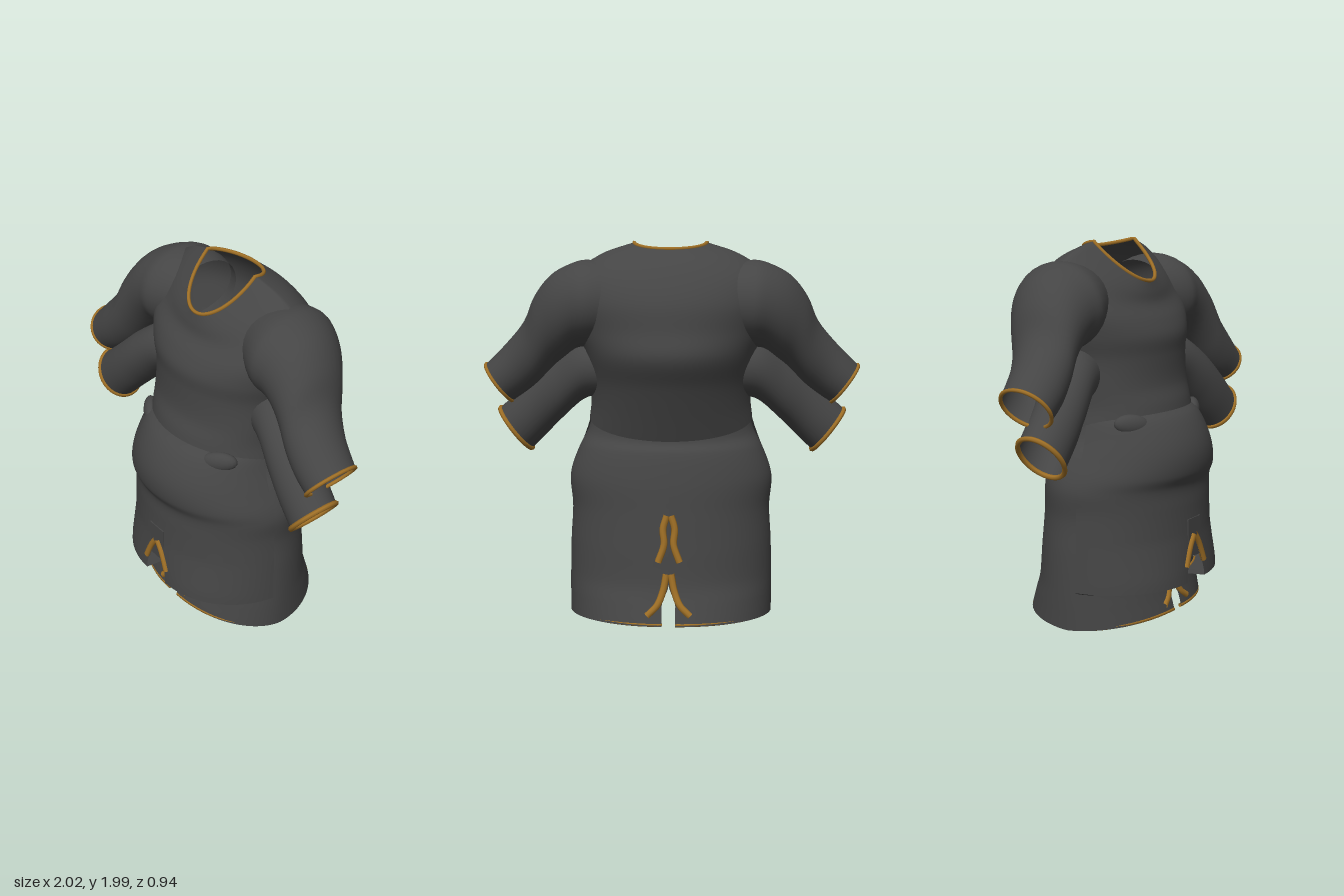
import * as THREE from 'three';

const cloth = new THREE.MeshStandardMaterial({ color: 0x454545, side: THREE.DoubleSide });
cloth.name = 'charcoal cloth';
const gold = new THREE.MeshStandardMaterial({ color: 0xa07026, side: THREE.DoubleSide });
gold.name = 'gold trim';
const V = (x, y, z) => new THREE.Vector3(x, y, z);

// Adds smooth in-between rows to a stack of cross-sections
function smoothRows(rows, steps) {
  const columns = rows[0].map((_, j) =>
    new THREE.CatmullRomCurve3(rows.map(r => r[j]), false, 'centripetal').getPoints(steps));
  return Array.from({ length: steps + 1 }, (_, i) => columns.map(c => c[i]));
}

// Skins rows of points into a sheet or a closed tube
function skin(rows, closed, flip) {
  const n = rows[0].length, index = [];
  for (let i = 0; i < rows.length - 1; i++) {
    for (let j = 0; j < (closed ? n : n - 1); j++) {
      const k = (j + 1) % n;
      const a = i * n + j, b = i * n + k, c = a + n, d = b + n;
      if (flip) index.push(a, b, c, b, d, c);
      else index.push(a, c, b, b, c, d);
    }
  }
  const g = new THREE.BufferGeometry().setFromPoints(rows.flat());
  g.setIndex(index);
  g.computeVertexNormals();
  return g;
}

// Body section: half width, front z, back z, heights at side, front and back, z of the sides
function section([w, f, b, ys, yf = ys, yb = ys, zs = 0], from, to, n, closed) {
  return Array.from({ length: n }, (_, j) => {
    const a = from + (to - from) * j / (closed ? n : n - 1);
    const c = Math.cos(a), s = Math.sin(a);
    return V(w * s, ys + ((c > 0 ? yf : yb) - ys) * Math.abs(c),
      zs + (c > 0 ? f - zs : zs - b) * c);
  });
}

// Sleeve section between a top and a bottom point, with front and back z
function sleeveSection([tx, ty, bx, by, zf, zb], side) {
  return Array.from({ length: 32 }, (_, j) => {
    const a = j / 32 * Math.PI * 2, c = Math.cos(a) / 2;
    return V(side * ((tx + bx) / 2 + (tx - bx) * c), (ty + by) / 2 + (ty - by) * c,
      (zf + zb) / 2 + (zf - zb) / 2 * Math.sin(a));
  });
}

const JACKET = [
  [.19, .165, -.20, 1.98, 1.775, 1.945, -.06],
  [.36, .18, -.30, 1.92, 1.72, 1.875, -.08],
  [.48, .195, -.38, 1.83, 1.66, 1.77, -.09],
  [.52, .25, -.43, 1.70, 1.58, 1.66, -.08],
  [.49, .285, -.45, 1.53, 1.50, 1.53, -.06],
  [.45, .285, -.47, 1.40, 1.40, 1.40, -.04],
  [.43, .295, -.40, 1.25],
  [.425, .325, -.345, 1.15, 1.16, 1.12],
  [.435, .34, -.28, 1.06, 1.09, .96],
];
const SKIRT = [
  [.41, .28, -.26, 1.12, 1.12, 1.06],
  [.44, .36, -.27, 1.0, 1.0, .95],
  [.49, .40, -.30, .90],
  [.54, .38, -.335, .75],
  [.53, .34, -.355, .58],
  [.54, .32, -.375, .40],
  [.545, .31, -.40, .20],
  [.545, .35, -.46, .005, .03, .03],
];
const FLAP = [
  [.42, .31, -.3, 1.11, 1.13],
  [.435, .38, -.3, 1.06, 1.09],
  [.455, .44, -.3, 1.0],
  [.492, .47, -.3, .90],
  [.53, .465, -.3, .80],
  [.543, .435, -.3, .73],
  [.535, .437, -.3, .62],
  [.54, .445, -.3, .45],
  [.547, .46, -.3, .215],
];
const UPPER_SLEEVE = [
  [.26, 1.86, .32, 1.46, .11, -.32], [.44, 1.89, .42, 1.44, .17, -.35],
  [.53, 1.866, .49, 1.43, .165, -.325], [.63, 1.81, .56, 1.38, .165, -.28],
  [.72, 1.70, .62, 1.33, .175, -.22], [.78, 1.57, .70, 1.24, .19, -.16],
  [.88, 1.45, .77, 1.18, .20, -.11], [1.0, 1.33, .85, 1.13, .20, -.08],
];
const LOWER_SLEEVE = [
  [.32, 1.48, .34, 1.18, .10, -.22], [.48, 1.46, .45, 1.16, .14, -.19],
  [.62, 1.37, .58, 1.05, .18, -.12], [.76, 1.25, .66, .97, .20, -.07],
  [.93, 1.09, .76, .87, .21, -.04],
];
// Gold edging along one half of each slit
const SLIT_TRIMS = {
  upperFrontSlitTrim: [[.006, .46, .446], [.04, .41, .448], [.065, .36, .45], [.09, .3, .453]],
  lowerFrontSlitTrim: [[.01, .27, .316], [.03, .19, .314], [.06, .115, .326], [.11, .075, .336]],
  upperBackSlitTrim: [[.01, .59, -.358], [.03, .52, -.364], [.025, .44, -.373], [.055, .35, -.382]],
  lowerBackSlitTrim: [[.012, .29, -.388], [.03, .2, -.403], [.06, .13, -.424], [.11, .08, -.436]],
};

// Half widths of the openings by height
const skirtGap = y => .035 * THREE.MathUtils.clamp((.22 - y) / .08, 0, 1);
const flapGap = y => .085 * THREE.MathUtils.clamp((.46 - y) / .2, 0, 1);

export function createModel() {
  const model = new THREE.Group();
  model.name = 'fourSleevedTunic';
  const add = (name, geometry, material) => {
    const mesh = new THREE.Mesh(geometry, material);
    mesh.name = name;
    model.add(mesh);
    return mesh;
  };
  const trim = (name, points, closed, radius) => add(name,
    new THREE.TubeGeometry(new THREE.CatmullRomCurve3(points, closed), 64, radius, 6, closed), gold);

  // Upper garment and neckline
  const jacket = smoothRows(JACKET.map(s => section(s, 0, Math.PI * 2, 64, true)), 48);
  add('jacket', skin(jacket, true), cloth);
  trim('neckTrim', jacket[0], true, .01);

  // Backing behind the flap opening
  const backing = add('slitBacking', new THREE.BoxGeometry(.12, .21, .008), cloth);
  backing.position.set(0, .445, .441);

  for (const side of [1, -1]) {
    const label = side > 0 ? 'left' : 'right';

    // Two sleeves on each side
    for (const [name, data, radius] of [['UpperSleeve', UPPER_SLEEVE, .01], ['LowerSleeve', LOWER_SLEEVE, .013]]) {
      const rows = smoothRows(data.map(s => sleeveSection(s, side)), 28);
      add(label + name, skin(rows, true, side > 0), cloth);
      trim(label + name + 'Trim', rows.at(-1), true, radius);
    }

    // Half skirt and front flap, pulled apart at the slits
    const halfPanel = (name, data, end, gap) => {
      const rows = smoothRows(data.map(s => section(s, 0, end, 40, false)), 60);
      for (const row of rows) {
        const w = Math.max(...row.map(p => p.x));
        for (const p of row) {
          const g = gap(p.y);
          p.x = side * (g + p.x * (1 - g / w));
        }
      }
      add(label + name, skin(rows, false, side < 0), cloth);
      return rows.at(-1);
    };
    const skirtHem = halfPanel('Skirt', SKIRT, Math.PI, skirtGap);
    trim(label + 'SkirtHemTrim', skirtHem.map(p => V(p.x * .975, p.y + .006, p.z * .975)), false, .011);

    // Flap hem turned back to the skirt
    const flapHem = halfPanel('FrontFlap', FLAP, Math.PI * .455, flapGap);
    const turned = flapHem.map(p => V(p.x * .97, .2, p.z * .66));
    add(label + 'FlapUnderside', skin([flapHem, turned], false, side < 0), cloth);

    // Gold hem strip, outside the skirt near the front and inside it at the side
    for (const [name, from, to, scale, radius] of [['Outer', .28, .76, 1.01, .008], ['Inner', .8, 1.5, .975, .012]]) {
      const strip = Array.from({ length: 9 }, (_, i) => {
        const a = from + (to - from) * i / 8;
        return V(side * .545 * scale * Math.sin(a), .198, .31 * scale * Math.cos(a));
      });
      trim(label + name + 'FlapHemTrim', strip, false, radius);
    }

    // Slit edging as slightly raised bands
    for (const [name, points] of Object.entries(SLIT_TRIMS)) {
      const curve = new THREE.CatmullRomCurve3(points.map(([x, y, z]) => V(side * x, y, z)));
      const band = curve.getPoints(20).map((p, i) => {
        const t = curve.getTangent(i / 20);
        const across = V(-t.y, t.x, 0).setLength(.018);
        return Array.from({ length: 8 }, (_, j) => {
          const a = j * Math.PI / 4;
          return p.clone().addScaledVector(across, Math.cos(a)).add(V(0, 0, .015 * Math.sin(a)));
        });
      });
      add(label + name, skin(band, true, true), gold);
    }

    // Gathered folds at the waist
    const fold = add(label + 'WaistFold', new THREE.SphereGeometry(1, 20, 12), cloth);
    fold.scale.set(.1, .055, .04);
    fold.position.set(side * .3, 1.07, .25);
    fold.rotation.set(0, side * .6, side * .15);
  }
  return model;
}
